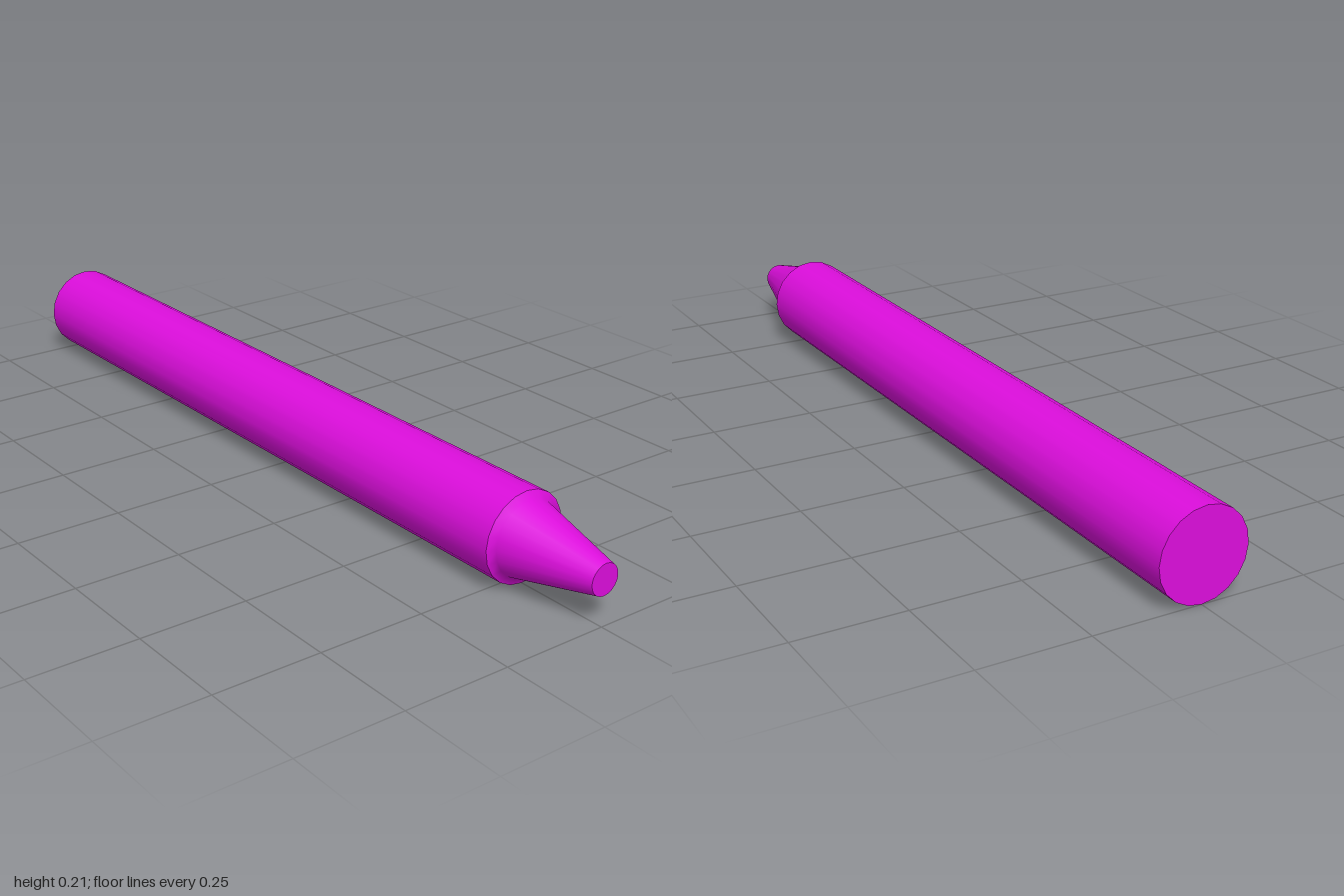
import * as THREE from 'three';

const SIDES = 20;
const RADIUS = 0.105;

export function createModel() {
  const group = new THREE.Group();
  group.name = 'marker';
  const material = new THREE.MeshStandardMaterial({ color: 0xdd0edd });

  // Revolves a profile of [radius, z] points around the long axis
  const addPart = (name, profile) => {
    const points = profile.map(([r, z]) => new THREE.Vector2(r, z));
    const geometry = new THREE.LatheGeometry(points, SIDES);
    geometry.rotateX(Math.PI / 2);
    const mesh = new THREE.Mesh(geometry, material);
    mesh.name = name;
    mesh.position.y = RADIUS;
    group.add(mesh);
  };

  // Long barrel with a flat rear end
  addPart('rearCap', [[0, -1], [RADIUS, -1]]);
  addPart('barrel', [[RADIUS, -1], [RADIUS, 0.775]]);

  // Narrow shoulder blending into the tapered nose
  addPart('nose', [[RADIUS, 0.775], [0.087, 0.785], [0.036, 1]]);

  // Flat blunt tip
  addPart('tip', [[0.036, 1], [0, 1]]);

  return group;
}
